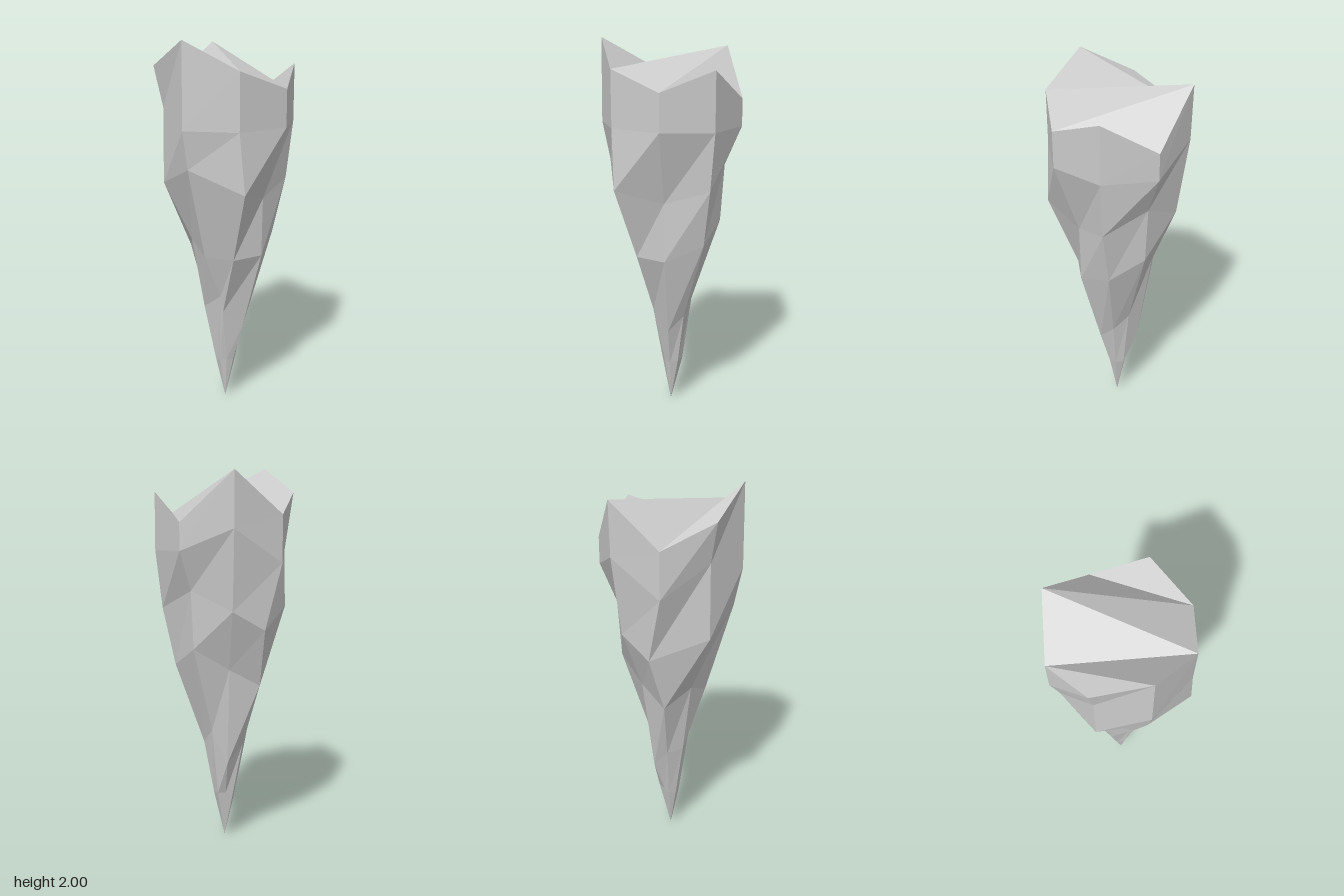
import * as THREE from 'three';

// Eight vertical ridges, starting at the front and turning towards +x.
// Each point runs from rim to tip: [radius, height, optional twist].
const RIDGES = [
  [[0.365, 1.86], [0.365, 1.57], [0.375, 1.26, 0.07], [0.225, 0.88], [0.105, 0.55, -0.3], [0.045, 0.24]],
  [[0.365, 1.76], [0.365, 1.57], [0.235, 1.19], [0.23, 0.88], [0.115, 0.45], [0.055, 0.24]],
  [[0.365, 1.86], [0.365, 1.56], [0.33, 1.26], [0.265, 0.96, 0.05], [0.112, 0.53], [0.06, 0.25]],
  [[0.365, 1.70], [0.365, 1.56], [0.28, 1.36], [0.26, 1.06], [0.11, 0.61], [0.06, 0.25]],
  [[0.365, 1.95], [0.36, 1.67], [0.305, 1.26], [0.185, 0.95], [0.11, 0.43], [0.042, 0.25]],
  [[0.365, 1.74], [0.365, 1.50], [0.315, 1.16, -0.21], [0.23, 0.86], [0.12, 0.53], [0.055, 0.24]],
  [[0.365, 1.86], [0.32, 1.65], [0.325, 1.26], [0.18, 0.94], [0.115, 0.55], [0.05, 0.22]],
  [[0.365, 2.00], [0.37, 1.57], [0.33, 1.37], [0.19, 0.88], [0.11, 0.64, 0.36], [0.05, 0.24]],
];

// Folds of the uneven broken top, as ridge numbers
const CAP = [[0, 1, 4], [1, 3, 4], [1, 2, 3], [0, 4, 5], [0, 5, 7], [5, 6, 7]];

function createShard() {
  const sides = RIDGES.length;
  const rings = RIDGES[0].length;
  const positions = [];
  const index = [];

  RIDGES.forEach((ridge, k) => {
    for (const [r, y, twist = 0] of ridge) {
      const a = (k / sides) * Math.PI * 2 + twist;
      positions.push(r * Math.sin(a), y, r * Math.cos(a) - 0.005);
    }
  });
  const tip = positions.length / 3;
  positions.push(0, 0, 0);

  // Faceted walls, closing to the point at the bottom
  for (let k = 0; k < sides; k++) {
    const a = k * rings;
    const b = ((k + 1) % sides) * rings;
    for (let j = 0; j < rings - 1; j++) {
      index.push(a + j + 1, b + j + 1, b + j, a + j + 1, b + j, a + j);
    }
    index.push(tip, b + rings - 1, a + rings - 1);
  }

  // Jagged top
  for (const tri of CAP) index.push(...tri.map((k) => k * rings));

  const indexed = new THREE.BufferGeometry();
  indexed.setAttribute('position', new THREE.Float32BufferAttribute(positions, 3));
  indexed.setIndex(index);
  const geometry = indexed.toNonIndexed();
  geometry.computeVertexNormals();
  return geometry;
}

export function createModel() {
  const group = new THREE.Group();
  group.name = 'rockSpike';
  const material = new THREE.MeshStandardMaterial({ color: 0xcccccc, flatShading: true });
  const shard = new THREE.Mesh(createShard(), material);
  shard.name = 'stoneShard';
  group.add(shard);
  return group;
}
